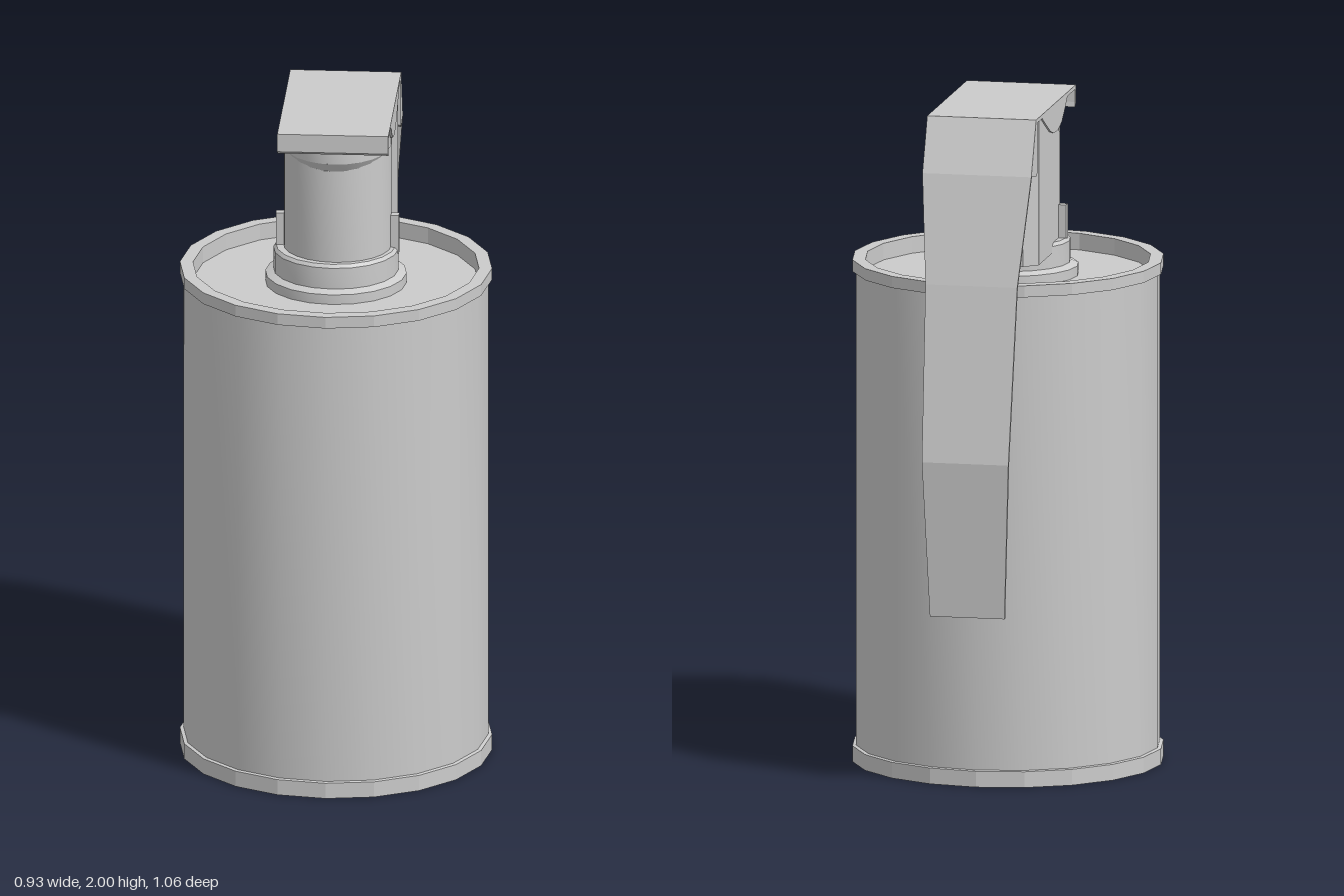
import * as THREE from 'three';
import { toCreasedNormals } from 'three/addons/utils/BufferGeometryUtils.js';

const AXIS_Z = 0.065; // centre line of the canister
const HEAD_X = 0.005; // the head sits slightly off centre
const smooth = new THREE.MeshStandardMaterial({ color: 0xcccccc });
const faceted = new THREE.MeshStandardMaterial({ color: 0xcccccc, flatShading: true });

export function createModel() {
  const model = new THREE.Group();
  const add = (name, geometry, material = smooth, x = 0, y = 0, z = 0) => {
    const mesh = new THREE.Mesh(geometry, material);
    mesh.name = name;
    mesh.position.set(x, y, z);
    model.add(mesh);
    return mesh;
  };
  const turned = (points, sides) =>
    toCreasedNormals(new THREE.LatheGeometry(points.map(p => new THREE.Vector2(...p)), sides), 0.5);
  // side outline in (z, y), given thickness along x
  const sideCut = (points, width) => {
    const shape = new THREE.Shape(points.map(p => new THREE.Vector2(...p)));
    return new THREE.ExtrudeGeometry(shape, { depth: width, bevelEnabled: false })
      .translate(0, 0, -width / 2).rotateY(-Math.PI / 2);
  };

  // canister with a raised rim at each end and a recessed lid
  add('canisterWall', turned([[0.453, 0.04], [0.453, 1.49]], 20), smooth, 0, 0, AXIS_Z);
  add('bottomRim', turned([[0, 0], [0.464, 0], [0.464, 0.048], [0.452, 0.05]], 20), faceted, 0, 0, AXIS_Z);
  add('topRimAndLid', turned([[0.452, 1.478], [0.464, 1.48], [0.464, 1.515], [0.425, 1.515],
    [0.425, 1.465], [0, 1.465]], 20), faceted, 0, 0, AXIS_Z);

  // stepped collar under the head
  add('collar', turned([[0.21, 1.46], [0.21, 1.495], [0.186, 1.505], [0.186, 1.57],
    [0.178, 1.58], [0, 1.58]], 20), smooth, 0, 0, AXIS_Z);

  // round-fronted neck and its wider top, running back into the housing
  add('neck', turned([[0.16, 1.57], [0.16, 1.9]], 24), smooth, HEAD_X, 0, AXIS_Z);
  const head = add('neckHead', turned([[0.14, 1.865], [0.158, 1.895], [0.158, 1.97], [0, 1.97]], 24),
    smooth, HEAD_X, 0, AXIS_Z);
  head.scale.z = 1.14;

  // housing block with chamfered back corners, drawn in plan
  const plan = new THREE.Shape([[-0.16, -0.065], [0.16, -0.065], [0.16, 0.228], [0.12, 0.265],
    [-0.12, 0.265], [-0.16, 0.228]].map(p => new THREE.Vector2(...p)));
  add('housing', new THREE.ExtrudeGeometry(plan, { depth: 0.435, bevelEnabled: false })
    .rotateX(-Math.PI / 2), faceted, HEAD_X, 1.55, 0);

  // lever: hooked lip, top plate and bent strap as one thin sheet
  const sheet = [[0.268, 1.935], [0.282, 1.945], [0.282, 2], [-0.29, 2], [-0.36, 1.84], [-0.44, 1.52],
    [-0.53, 1], [-0.5, 0.53], [-0.488, 0.53], [-0.518, 1], [-0.429, 1.52], [-0.349, 1.84],
    [-0.283, 1.988], [0.27, 1.988], [0.27, 1.95]];
  const lever = sideCut(sheet, 2);
  const widths = [[0.53, 0.113], [1, 0.131], [1.52, 0.139], [1.84, 0.165], [2, 0.165]];
  const halfWidth = y => {
    const i = Math.max(1, widths.findIndex(w => w[0] >= y - 1e-4));
    const [y0, w0] = widths[i - 1], [y1, w1] = widths[i];
    return w0 + (w1 - w0) * (y - y0) / (y1 - y0);
  };
  const pos = lever.attributes.position;
  for (let i = 0; i < pos.count; i++) pos.setX(i, pos.getX(i) * halfWidth(pos.getY(i)));
  add('lever', lever, faceted, HEAD_X);

  // curved cheeks, bend gussets and pivot pins on both sides
  const cheek = [[-0.215, 1.995], [-0.16, 1.965], [-0.08, 1.925], [-0.03, 1.912], [0.03, 1.912],
    [0.08, 1.925], [0.13, 1.96], [0.17, 1.995]];
  const gusset = [[-0.265, 1.998], [-0.29, 1.998], [-0.357, 1.84], [-0.34, 1.838], [-0.285, 1.828],
    [-0.268, 1.84]];
  for (const side of [-1, 1]) {
    const name = side > 0 ? 'left' : 'right';
    add(name + 'LeverCheek', sideCut(cheek, 0.008), faceted, HEAD_X + side * 0.161);
    add(name + 'LeverGusset', sideCut(gusset, 0.008), faceted, HEAD_X + side * 0.161);
    add(name + 'PivotPin', new THREE.BoxGeometry(0.03, 0.12, 0.026), faceted, HEAD_X + side * 0.168, 1.62, 0.067);
  }
  return model;
}
